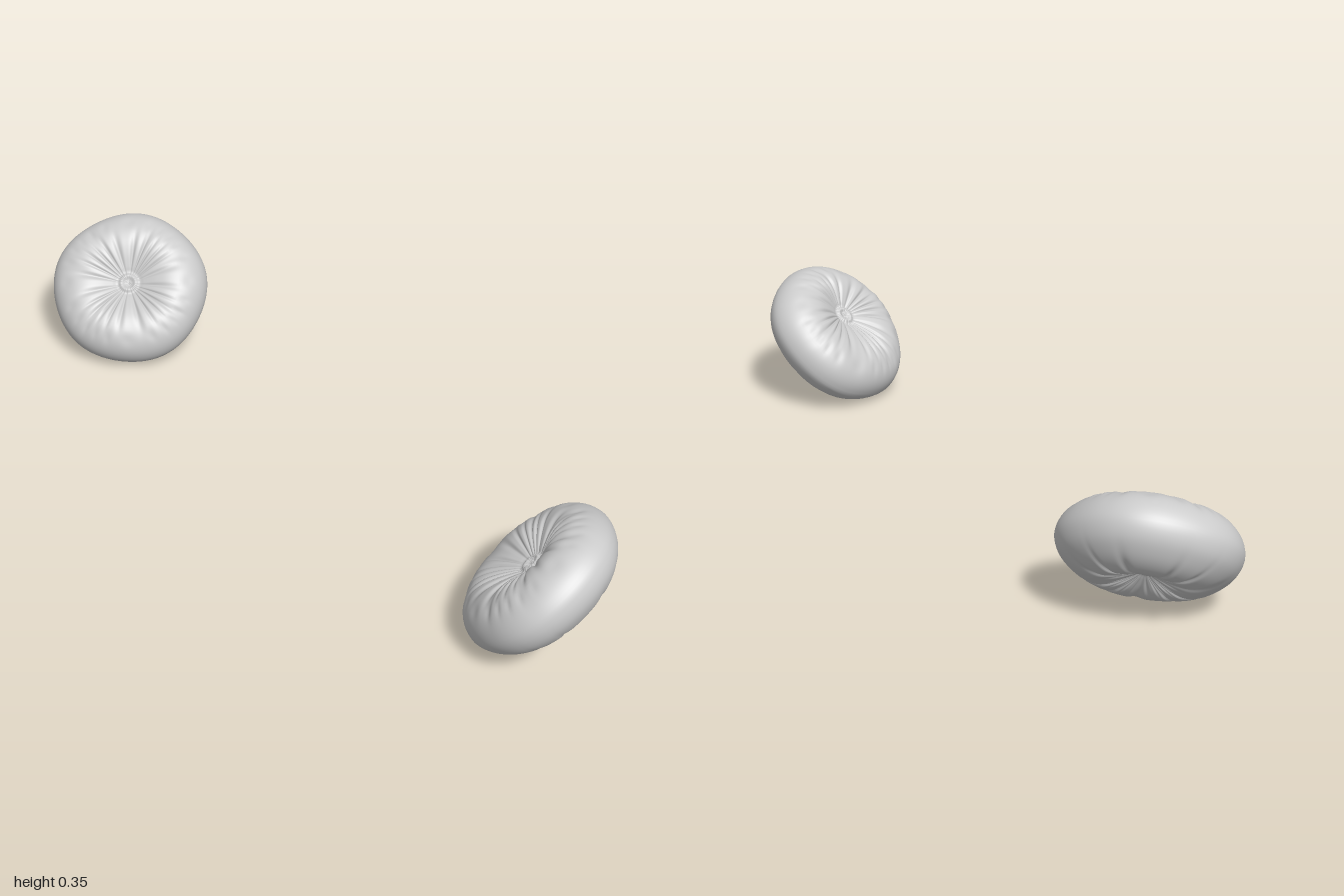
import * as THREE from 'three';
import { mergeVertices } from 'three/addons/utils/BufferGeometryUtils.js';

// Half section of the cushion (radius, height), from the bottom pucker to the top button
const profile = [
  [0, -0.058], [0.012, -0.06], [0.03, -0.068], [0.07, -0.084], [0.105, -0.09], [0.14, -0.082],
  [0.172, -0.064], [0.2, -0.036], [0.213, 0.0], [0.205, 0.036], [0.182, 0.066], [0.15, 0.084],
  [0.115, 0.088], [0.08, 0.08], [0.045, 0.065], [0.03, 0.058], [0.02, 0.063], [0.01, 0.057], [0, 0.055],
];

const bell = (x, mid, width) => Math.exp(-(((x - mid) / width) ** 2));

// Narrow grooves, `count` around the turn, 1 at a groove and 0 between
const groove = (angle, count, sharp) => Math.pow(0.5 + 0.5 * Math.cos(angle * count), sharp);

function cushionGeometry({ phase, bulgeAngle, bulge, hubShift }) {
  const curve = new THREE.CatmullRomCurve3(profile.map(([r, y]) => new THREE.Vector3(r, y, 0)));
  const points = curve.getPoints(72).map((p) => new THREE.Vector2(Math.max(p.x, 0), p.y));
  points[0].x = points[points.length - 1].x = 0;
  const lathe = new THREE.LatheGeometry(points, 240);
  const pos = lathe.attributes.position;
  const v = new THREE.Vector3();
  for (let i = 0; i < pos.count; i++) {
    v.fromBufferAttribute(pos, i);
    const r = Math.hypot(v.x, v.z);
    const a = Math.atan2(v.z, v.x);
    // Uneven outline with one bulge in the rim
    const toBulge = Math.exp(4 * (Math.cos(a - bulgeAngle) - 1));
    const lobe = 1 + (r / 0.21) * (bulge * toBulge + 0.01 * Math.cos(5 * a - 2 * phase));
    // Gathered fabric: many folds on top, fewer and longer seams below
    const swirl = a + 0.12 * Math.sin(4 * a + phase);
    let shift = 0;
    if (v.y > 0) {
      v.y -= 0.006 * groove(swirl, 24, 3) * bell(r, 0.09, 0.05);
      v.y -= 0.004 * groove(swirl + 0.3, 7, 6) * bell(r, 0.14, 0.05);
      v.y -= 0.003 * groove(swirl + 0.1, 24, 2) * bell(r, 0.17, 0.015);
      // The top button sits off centre
      shift = hubShift * bell(r, 0, 0.12);
    } else {
      v.y += 0.006 * groove(swirl, 11, 8) * bell(r, 0.1, 0.06);
      v.y += 0.003 * groove(swirl + 0.14, 22, 4) * bell(r, 0.06, 0.03);
    }
    pos.setXYZ(i, v.x * lobe + shift, v.y, v.z * lobe);
  }
  // Weld the lathe seam so the shading stays smooth
  lathe.deleteAttribute('uv');
  lathe.deleteAttribute('normal');
  const geometry = mergeVertices(lathe, 1e-5);
  geometry.computeVertexNormals();
  return geometry;
}

export function createModel() {
  const group = new THREE.Group();
  const material = new THREE.MeshStandardMaterial({ color: 0xcccccc, roughness: 0.8 });
  const up = new THREE.Vector3(0, 1, 0);

  // Two tilted cushions, tops leaning towards each other and forward
  const cushions = [
    {
      name: 'rightCushion', axis: [0.48, 0.74, 0.47], center: [-0.815, 0.168, -0.022],
      shape: { phase: 0.6, bulgeAngle: 2.5, bulge: 0.03, hubShift: 0 },
    },
    {
      name: 'leftCushion', axis: [-0.6, 0.71, 0.37], center: [0.81, 0.172, 0.003],
      shape: { phase: 2.4, bulgeAngle: 0.5, bulge: 0.05, hubShift: 0.03 },
    },
  ];
  for (const { name, axis, center, shape } of cushions) {
    const mesh = new THREE.Mesh(cushionGeometry(shape), material);
    mesh.name = name;
    mesh.quaternion.setFromUnitVectors(up, new THREE.Vector3(...axis).normalize());
    mesh.position.set(...center);
    group.add(mesh);
  }
  return group;
}
